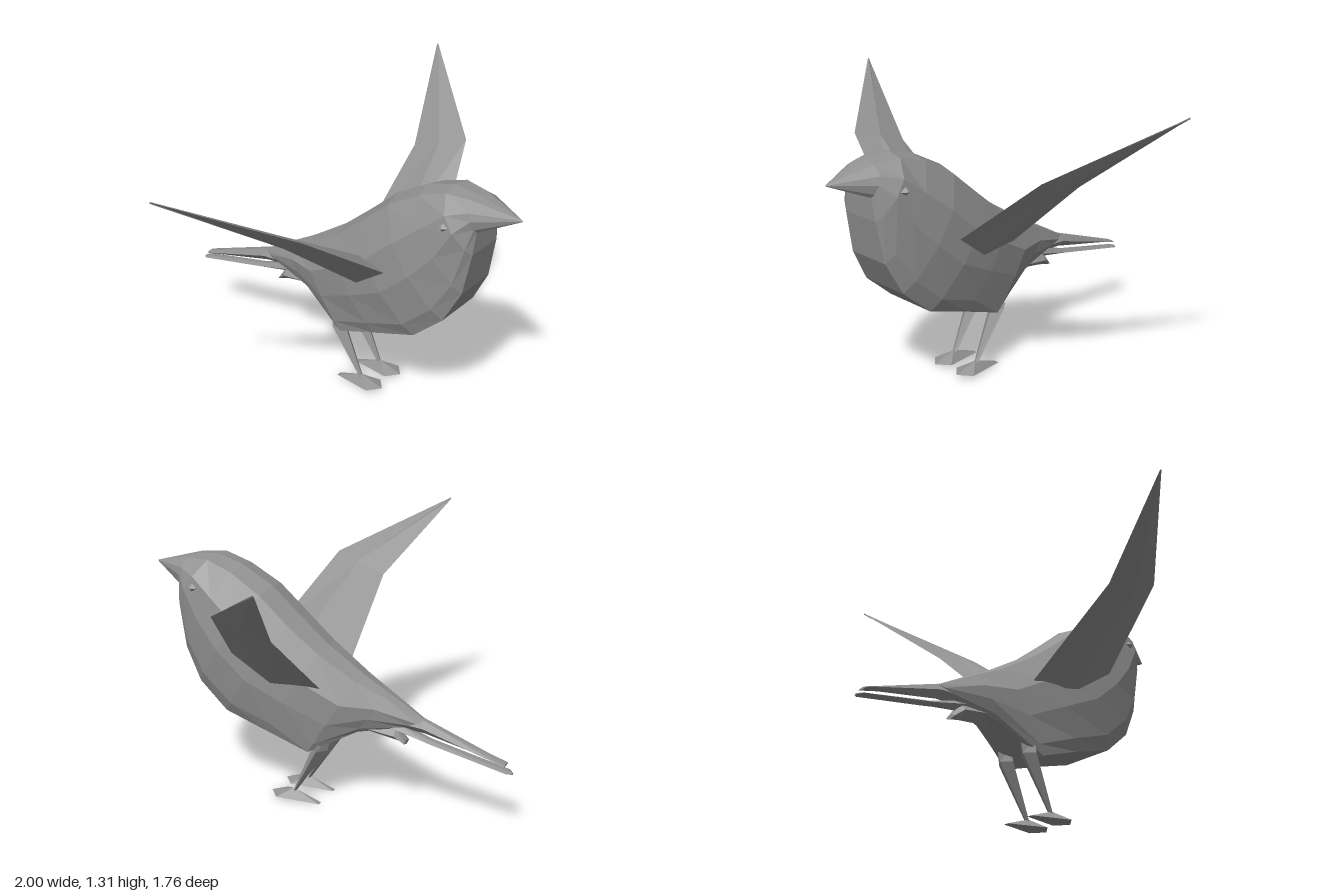
import * as THREE from 'three';
import { ConvexGeometry } from 'three/addons/geometries/ConvexGeometry.js';

const CX = 0.035; // body centre line
const material = new THREE.MeshStandardMaterial({ color: 0x939393, flatShading: true });

// Skin a list of rings (counter-clockwise as seen from the first ring) and close both ends
function loft(rings) {
  const pos = [];
  const tri = (a, b, c) => pos.push(...a, ...b, ...c);
  const centre = (r) => [0, 1, 2].map((k) => r.reduce((s, p) => s + p[k], 0) / r.length);
  const n = rings[0].length;
  const first = rings[0], last = rings[rings.length - 1];
  const c0 = centre(first), c1 = centre(last);
  for (let i = 0; i < n; i++) {
    const j = (i + 1) % n;
    for (let r = 0; r < rings.length - 1; r++) {
      const a = rings[r], b = rings[r + 1];
      tri(a[i], b[i], a[j]);
      tri(b[i], b[j], a[j]);
    }
    tri(c0, first[i], first[j]);
    tri(c1, last[j], last[i]);
  }
  const g = new THREE.BufferGeometry();
  g.setAttribute('position', new THREE.Float32BufferAttribute(pos, 3));
  g.computeVertexNormals();
  return g;
}

function add(group, name, geometry) {
  const mesh = new THREE.Mesh(geometry, material);
  mesh.name = name;
  group.add(mesh);
  return mesh;
}

// Slanted body slice: top and bottom points in (z, y), half width, flat share of the belly
function slice([tz, ty, bz, by, hw, belly]) {
  const half = [[belly, 0], [(belly + 1) / 2, 0.12], [1, 0.42], [0.96, 0.7], [0.52, 0.96]];
  const profile = [...half, [0, 1], ...half.map(([u, v]) => [-u, v]).reverse()];
  return profile.map(([u, v]) => [CX + u * hw, by + (ty - by) * v, bz + (tz - bz) * v]);
}

// Feather with a ridged section: z, upper y, lower y, half width
function feather(rows) {
  return loft(rows.map(([z, top, low, hw]) => {
    const mid = (top + low) / 2;
    return [[CX + hw, mid, z], [CX + hw * 0.4, top, z], [CX - hw * 0.4, top, z],
      [CX - hw, mid, z], [CX, low, z]];
  }));
}

export function createModel() {
  const bird = new THREE.Group();
  bird.name = 'bird';

  // Body and head, from throat to rump
  const face = [0.68, 1.1, 0.72, 0.97, 0.112, 0.7];
  add(bird, 'body', loft([
    face,
    [0.56, 1.115, 0.715, 0.87, 0.16, 0.6],
    [0.43, 1.08, 0.68, 0.68, 0.178, 0.6],
    [0.28, 1.0, 0.6, 0.53, 0.198, 0.62],
    [0.14, 0.88, 0.46, 0.41, 0.2, 0.66],
    [0, 0.765, 0.25, 0.345, 0.178, 0.74],
    [-0.18, 0.65, 0.05, 0.275, 0.136, 0.88],
    [-0.3, 0.585, -0.17, 0.395, 0.082, 0.7],
    [-0.47, 0.49, -0.37, 0.44, 0.03, 0.6],
  ].map(slice)));

  // Beak: broad wedge running to a point
  add(bird, 'beak', loft([[0.882, 1.042, 0.882, 1.036, 0.003, 0.7], face].map(slice)));

  // Tail feathers and the covert below them
  add(bird, 'upperTail', feather([
    [-0.34, 0.5, 0.43, 0.035], [-0.47, 0.49, 0.425, 0.032], [-0.85, 0.357, 0.347, 0.028],
  ]));
  add(bird, 'lowerTail', feather([
    [-0.32, 0.46, 0.41, 0.035], [-0.5, 0.402, 0.38, 0.03],
    [-0.86, 0.328, 0.314, 0.028], [-0.882, 0.32, 0.311, 0.008],
  ]));
  add(bird, 'tailCovert', feather([
    [-0.15, 0.46, 0.39, 0.06], [-0.34, 0.435, 0.365, 0.045], [-0.385, 0.375, 0.355, 0.03],
  ]));

  // Wings: each ring is leading edge, upper ridge, trailing edge, lower ridge
  const leftWing = [
    [[0.26, 0.74, 0.37], [0.18, 0.72, 0.2], [0.15, 0.585, -0.025], [0.225, 0.615, 0.2]],
    [[0.61, 1.04, 0.255], [0.575, 1.01, 0.13], [0.575, 0.96, -0.005], [0.6, 0.98, 0.14]],
    [[1, 1.31, -0.165], [0.997, 1.311, -0.168], [0.995, 1.305, -0.17], [1, 1.305, -0.168]],
  ];
  const rightWing = [
    [[-0.2, 0.735, 0.37], [-0.11, 0.72, 0.2], [-0.08, 0.585, -0.03], [-0.165, 0.615, 0.2]],
    [[-0.59, 1.0, 0.25], [-0.55, 0.975, 0.13], [-0.55, 0.925, -0.005], [-0.575, 0.935, 0.14]],
    [[-1, 1.218, -0.165], [-0.997, 1.219, -0.168], [-0.995, 1.212, -0.17], [-1, 1.212, -0.168]],
  ];
  add(bird, 'leftWing', loft(leftWing));
  add(bird, 'rightWing', loft(rightWing.map((r) => [...r].reverse())));

  for (const s of [-1, 1]) {
    const side = s > 0 ? 'left' : 'right';
    const x = CX + s * 0.074;

    // Leg: thigh tapering to a thin ankle
    const legRing = (y, z, hw, hd) =>
      [[x + hw, y, z], [x, y, z - hd], [x - hw, y, z], [x, y, z + hd]];
    add(bird, side + 'Leg', loft([
      legRing(0.34, 0, 0.04, 0.045),
      legRing(0.28, 0.01, 0.045, 0.038),
      legRing(0.04, 0.14, 0.012, 0.007),
    ]));

    // Foot: low pointed wedge
    add(bird, side + 'Foot', new ConvexGeometry([
      [0, 0.052, 0.145], [0, 0.018, 0.26], [0.057, 0.016, 0.21],
      [-0.057, 0.016, 0.21], [0.012, 0, 0.01], [-0.012, 0, 0.01],
    ].map(([px, y, z]) => new THREE.Vector3(x + px, y, z))));

    // Eye
    const eye = add(bird, side + 'Eye', new THREE.OctahedronGeometry(0.022));
    eye.scale.set(0.9, 0.9, 1.3);
    eye.position.set(CX + s * 0.158, 0.99, 0.605);
  }
  return bird;
}
